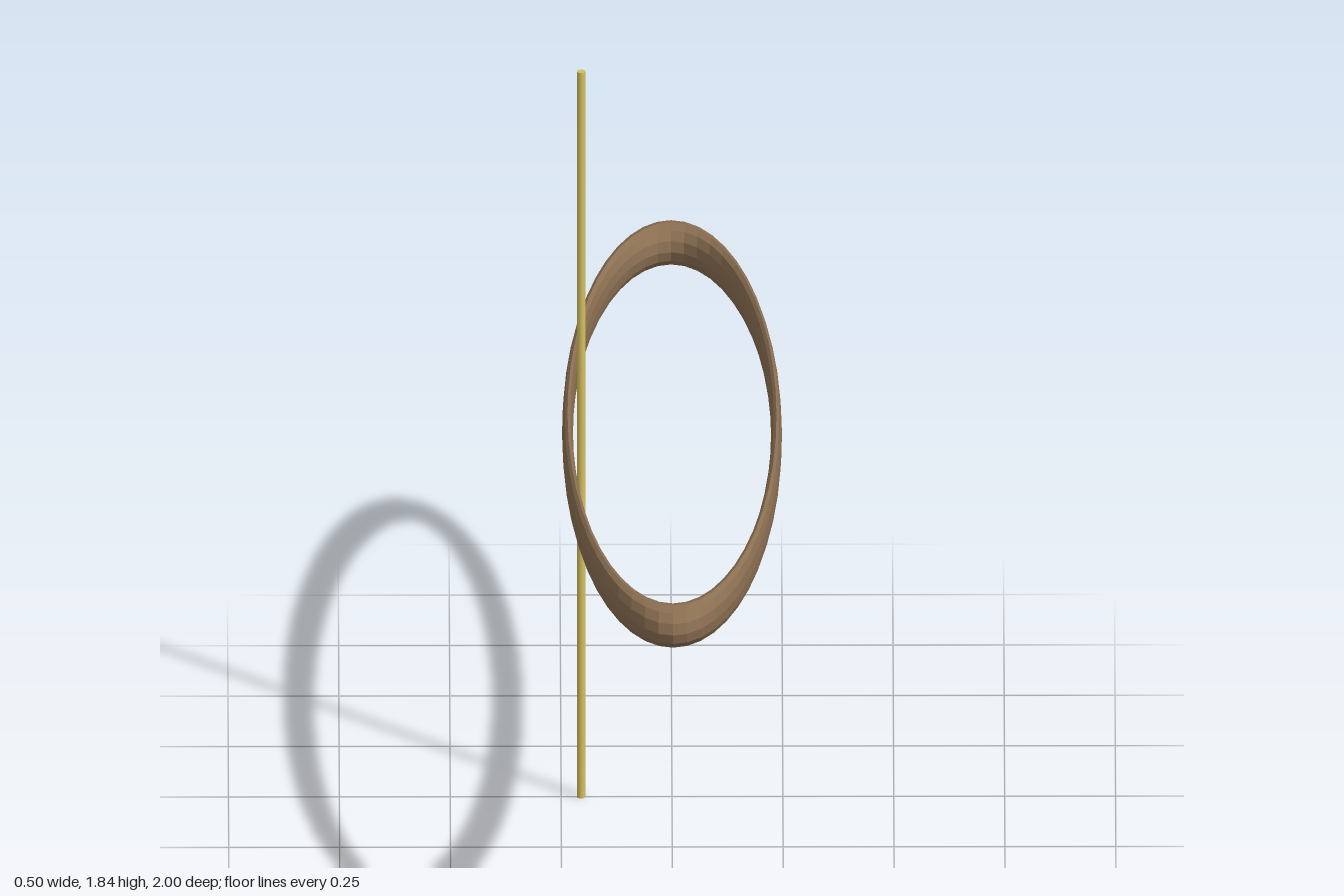
import * as THREE from 'three';

export function createModel() {
  const group = new THREE.Group();
  const midY = 0.918;

  // Narrow elliptical hoop: a torus laid flat and squeezed across x
  const hoopGeometry = new THREE.TorusGeometry(0.95, 0.05, 12, 48);
  hoopGeometry.rotateX(Math.PI / 2);
  hoopGeometry.scale(0.248, 1, 1);
  const hoop = new THREE.Mesh(
    hoopGeometry,
    new THREE.MeshStandardMaterial({ color: 0x8b6f52, flatShading: true })
  );
  hoop.name = 'hoop';
  hoop.position.y = midY;
  group.add(hoop);

  // Thin upright rod just inside the hoop's right side
  const rod = new THREE.Mesh(
    new THREE.CylinderGeometry(0.0095, 0.0095, midY * 2, 12),
    new THREE.MeshStandardMaterial({ color: 0xd4c060 })
  );
  rod.name = 'rod';
  rod.position.set(-0.205, midY, 0);
  group.add(rod);

  return group;
}
